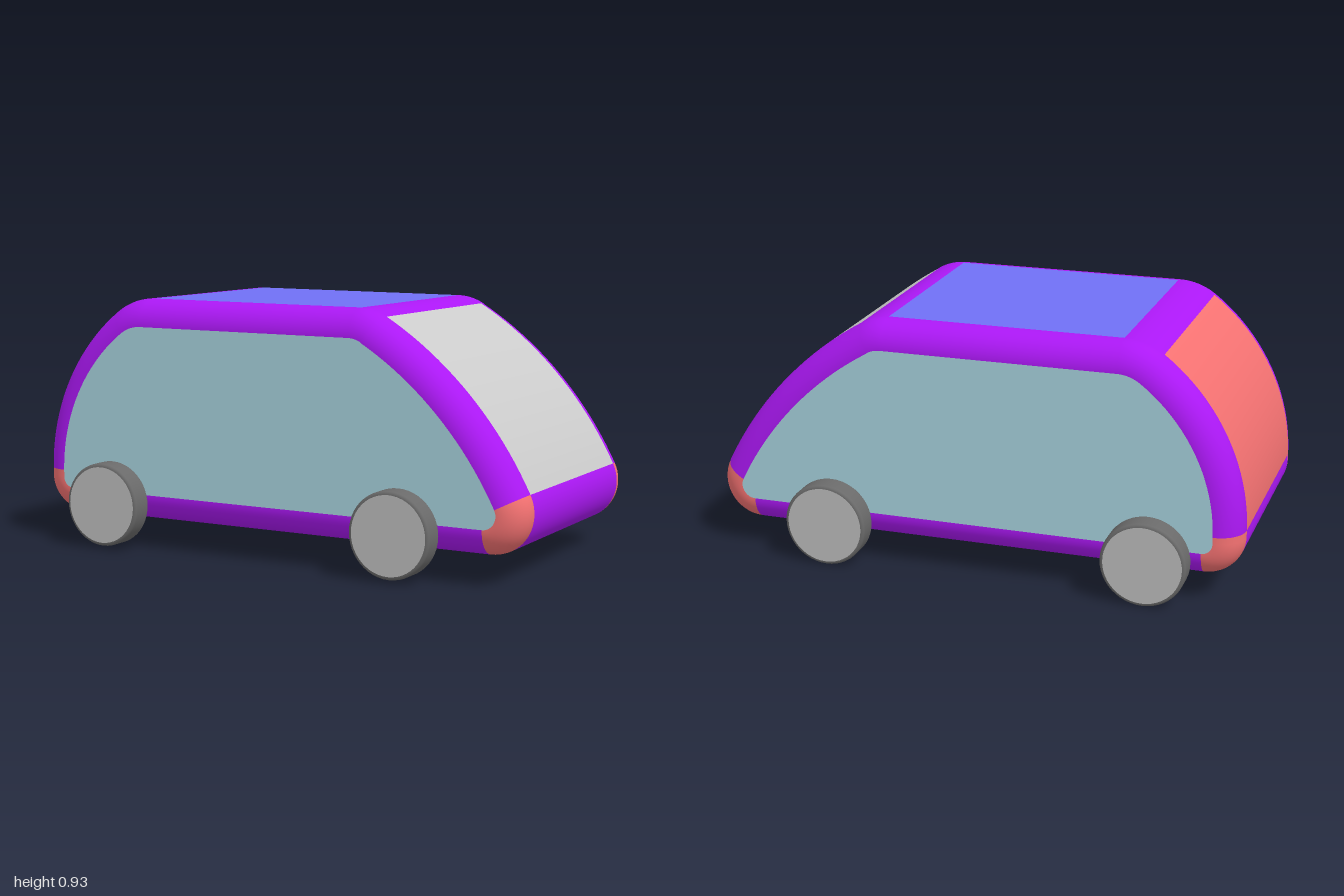
import * as THREE from 'three';

const HALF = 0.4;   // half width of the flat panels
const EDGE = 0.1;   // radius of the rounded side edges
const C = { purple: 0xac18f5, salmon: 0xf57272, blue: 0x7070f5, grey: 0xcccccc, glass: 0xa6d1dc, tread: 0x6a6a6a, cap: 0xbababa };

// Side outline, counter-clockwise: arcs [cx, cy, radius, startDeg, endDeg] and straight runs
const OUTLINE = [
  { name: 'frontBumper', arc: [0.845, 0.25, 0.15, -90, 27], panel: C.purple, edge: C.salmon },
  { name: 'windscreen', arc: [-0.279, -0.323, 1.412, 27, 60], panel: C.grey, edge: C.purple },
  { name: 'roofFrontCorner', arc: [0.327, 0.728, 0.2, 60, 90], panel: C.purple, edge: C.purple },
  { name: 'roof', panel: C.blue, edge: C.purple, angle: 90 },
  { name: 'roofRearCorner', arc: [-0.547, 0.688, 0.24, 90, 126.5], panel: C.purple, edge: C.purple },
  { name: 'rearPanel', arc: [-0.235, 0.266, 0.765, 126.5, 180], panel: C.salmon, edge: C.purple },
  { name: 'rearBumper', arc: [-0.86, 0.24, 0.14, 180, 270], panel: C.purple, edge: C.salmon },
  { name: 'underside', panel: C.grey, edge: C.purple, angle: 270 },
];

const rad = THREE.MathUtils.degToRad;

function material(color) {
  return new THREE.MeshStandardMaterial({ color });
}

// Points on the inner outline (EDGE inside the surface) with their outward normals
function arcPoints([cx, cy, r, a0, a1]) {
  const pts = [], n = 20;
  for (let i = 0; i <= n; i++) {
    const a = rad(a0 + (a1 - a0) * i / n), nx = Math.cos(a), ny = Math.sin(a);
    pts.push({ x: cx + (r - EDGE) * nx, y: cy + (r - EDGE) * ny, nx, ny });
  }
  return pts;
}

// Surface swept along the outline through rows of { z, phi }
function sweep(pts, rows) {
  const pos = [], nor = [], idx = [], m = rows.length;
  for (const p of pts) {
    for (const { z, phi } of rows) {
      const c = Math.cos(phi), s = Math.sin(phi);
      pos.push(p.x + EDGE * c * p.nx, p.y + EDGE * c * p.ny, z + EDGE * s);
      nor.push(c * p.nx, c * p.ny, s);
    }
  }
  for (let i = 0; i < pts.length - 1; i++) {
    for (let j = 0; j < m - 1; j++) {
      const a = i * m + j, b = a + m;
      idx.push(a, b, b + 1, a, b + 1, a + 1);
    }
  }
  const g = new THREE.BufferGeometry();
  g.setAttribute('position', new THREE.Float32BufferAttribute(pos, 3));
  g.setAttribute('normal', new THREE.Float32BufferAttribute(nor, 3));
  g.setIndex(idx);
  return g;
}

function add(parent, name, geometry, color) {
  const mesh = new THREE.Mesh(geometry, material(color));
  mesh.name = name;
  parent.add(mesh);
  return mesh;
}

function buildBody() {
  const body = new THREE.Group();
  body.name = 'body';
  const runs = OUTLINE.map(s => (s.arc ? arcPoints(s.arc) : null));
  const count = runs.length;
  const panelRows = [{ z: -HALF, phi: 0 }, { z: HALF, phi: 0 }];
  const edgeRows = side => Array.from({ length: 13 }, (_, i) => ({
    z: side * HALF,
    phi: (side > 0 ? i / 12 : i / 12 - 1) * Math.PI / 2,
  }));

  OUTLINE.forEach((seg, i) => {
    const before = runs[(i + count - 1) % count], after = runs[(i + 1) % count];
    let pts;
    if (seg.arc) {
      // start exactly where the previous arc ended
      pts = before ? [before[before.length - 1], ...runs[i]] : runs[i];
    } else {
      const nx = Math.cos(rad(seg.angle)), ny = Math.sin(rad(seg.angle));
      pts = [before[before.length - 1], after[0]].map(p => ({ x: p.x, y: p.y, nx, ny }));
    }
    add(body, seg.name, sweep(pts, panelRows), seg.panel);
    add(body, seg.name + 'LeftEdge', sweep(pts, edgeRows(1)), seg.edge);
    add(body, seg.name + 'RightEdge', sweep(pts, edgeRows(-1)), seg.edge);
  });

  // Flat side windows fill the inner outline
  const shape = new THREE.Shape(runs.filter(Boolean).flat().map(p => new THREE.Vector2(p.x, p.y)));
  for (const side of [1, -1]) {
    const win = add(body, side > 0 ? 'leftSideWindow' : 'rightSideWindow', new THREE.ShapeGeometry(shape), C.glass);
    win.material.side = THREE.DoubleSide;
    win.position.z = side * (HALF + EDGE);
  }
  return body;
}

// Wheel lying along z: dark tread with softened rims and flat pale faces
function buildWheel(name) {
  const wheel = new THREE.Group();
  wheel.name = name;
  const r = 0.156, h = 0.043, f = 0.013, profile = [];
  for (const s of [-1, 1]) {
    for (let i = 0; i <= 5; i++) {
      const a = (s < 0 ? i / 5 - 1 : i / 5) * Math.PI / 2;
      profile.push(new THREE.Vector2(r - f + f * Math.cos(a), s * (h - f) + f * Math.sin(a)));
    }
  }
  add(wheel, 'tread', new THREE.LatheGeometry(profile, 48), C.tread).rotation.x = Math.PI / 2;
  for (const s of [1, -1]) {
    const cap = add(wheel, s > 0 ? 'leftFace' : 'rightFace', new THREE.CircleGeometry(r - f, 48), C.cap);
    cap.position.z = s * h;
    if (s < 0) cap.rotation.y = Math.PI;
  }
  return wheel;
}

export function createModel() {
  const car = new THREE.Group();
  car.name = 'car';
  car.add(buildBody());
  for (const [end, x] of [['front', 0.53], ['rear', -0.67]]) {
    for (const [label, side] of [['Left', 1], ['Right', -1]]) {
      const wheel = buildWheel(end + label + 'Wheel');
      wheel.position.set(x, 0.162, side * 0.538);
      car.add(wheel);
    }
  }
  // The car sits very slightly turned and leaning
  car.rotation.set(-0.01, -0.015, 0);
  const model = new THREE.Group();
  model.name = 'model';
  model.add(car);
  return model;
}
